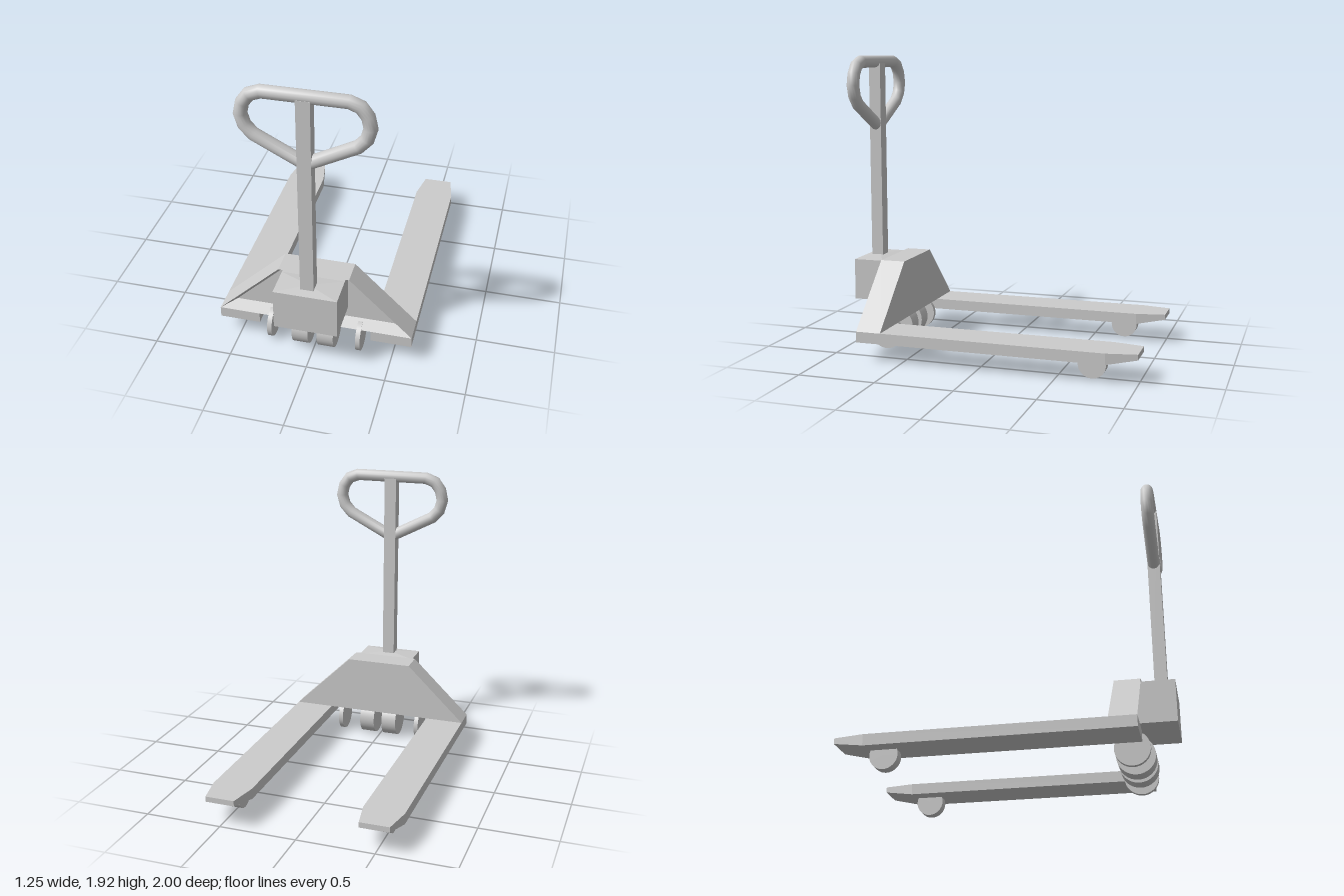
import * as THREE from 'three';
import { toCreasedNormals } from 'three/addons/utils/BufferGeometryUtils.js';

const material = new THREE.MeshStandardMaterial({ color: 0xcccccc });

function part(name, geometry, x = 0, y = 0, z = 0) {
  const mesh = new THREE.Mesh(geometry, material);
  mesh.name = name;
  mesh.position.set(x, y, z);
  return mesh;
}

// Flat-sided loft through four-cornered sections running towards +z
function loft(sections) {
  const pos = [];
  const quad = (a, b, c, d) => [a, b, c, a, c, d].forEach((p) => pos.push(...p));
  for (let k = 0; k < sections.length - 1; k++) {
    const s = sections[k], t = sections[k + 1];
    for (let i = 0; i < 4; i++) {
      const j = (i + 1) % 4;
      quad(s[i], s[j], t[j], t[i]);
    }
  }
  quad(...[...sections[0]].reverse());
  quad(...sections[sections.length - 1]);
  const geometry = new THREE.BufferGeometry();
  geometry.setAttribute('position', new THREE.Float32BufferAttribute(pos, 3));
  geometry.computeVertexNormals();
  return geometry;
}

const rect = (x0, x1, y0, y1, z) => [[x0, y0, z], [x1, y0, z], [x1, y1, z], [x0, y1, z]];
const trapezoid = (bottom, top, y0, y1, z) =>
  [[-bottom, y0, z], [bottom, y0, z], [top, y1, z], [-top, y1, z]];

function wheel(name, radius, width, x, z) {
  const geometry = new THREE.CylinderGeometry(radius, radius, width, 32);
  geometry.rotateZ(Math.PI / 2);
  return part(name, geometry, x, radius, z);
}

// Closed round bar with mitred bends, following a flat counter-clockwise path
function bentBar(path, radius) {
  const n = path.length, sides = 16;
  const geometry = new THREE.TorusGeometry(1, radius, sides, n);
  const pos = geometry.attributes.position;
  const normal = (a, b) => new THREE.Vector2(b.y - a.y, a.x - b.x).normalize();
  for (let i = 0; i <= n; i++) {
    const p = path[i % n];
    const before = normal(path[(i + n - 1) % n], p);
    const after = normal(p, path[(i + 1) % n]);
    const mitre = before.clone().add(after).normalize();
    mitre.divideScalar(mitre.dot(after));
    for (let j = 0; j <= sides; j++) {
      const v = (j / sides) * Math.PI * 2;
      const out = Math.cos(v) * radius;
      pos.setXYZ(j * (n + 1) + i, p.x + mitre.x * out, p.y + mitre.y * out, Math.sin(v) * radius);
    }
  }
  return toCreasedNormals(geometry, 0.75);
}

export function createModel() {
  const model = new THREE.Group();
  model.name = 'palletTruck';

  // Sloping body, with a shallow bevelled recess in its front
  model.add(part('body', loft([
    trapezoid(0.625, 0.225, 0.19, 0.575, 0.63),
    trapezoid(0.625, 0.225, 0.19, 0.575, 0.795),
    trapezoid(0.53, 0.19, 0.225, 0.555, 0.72),
  ])));

  // Pump housing with a barely raised lid
  model.add(part('pumpHousing', new THREE.BoxGeometry(0.4, 0.27, 0.28), 0, 0.43, 0.86));
  const lid = new THREE.CylinderGeometry(0.05, 0.2 * Math.SQRT2, 0.012, 4).toNonIndexed();
  lid.rotateY(Math.PI / 4);
  lid.scale(1, 1, 0.5);
  lid.computeVertexNormals();
  model.add(part('housingLid', lid, 0, 0.571, 0.9));

  // Pole and loop handle
  model.add(part('pole', new THREE.BoxGeometry(0.084, 1.31, 0.08), 0, 1.215, 0.905));
  const half = [[0.3, 1.605], [0.35, 1.66], [0.37, 1.73], [0.355, 1.8], [0.315, 1.855], [0.25, 1.88]];
  const loop = [[0, 1.45], ...half, ...half.map(([x, y]) => [-x, y]).reverse()];
  model.add(part('handle', bentBar(loop.map(([x, y]) => new THREE.Vector2(x, y)), 0.04), 0, 0, 0.905));

  for (const side of [1, -1]) {
    const label = side > 0 ? 'left' : 'right';

    // Fork, tapering at its tip
    const c = side * 0.494;
    model.add(part(label + 'Fork', loft([
      rect(c - 0.095, c + 0.095, 0.155, 0.19, -1),
      rect(c - 0.131, c + 0.131, 0.12, 0.19, -0.81),
      rect(c - 0.131, c + 0.131, 0.12, 0.19, 0.795),
    ])));

    // Wheels
    model.add(wheel(label + 'ForkWheel', 0.087, 0.07, side * 0.495, -0.71));
    model.add(wheel(label + 'SteerWheel', 0.12, 0.105, side * 0.082, 0.735));
    model.add(wheel(label + 'OuterWheel', 0.108, 0.03, side * 0.288, 0.73));
  }
  return model;
}
